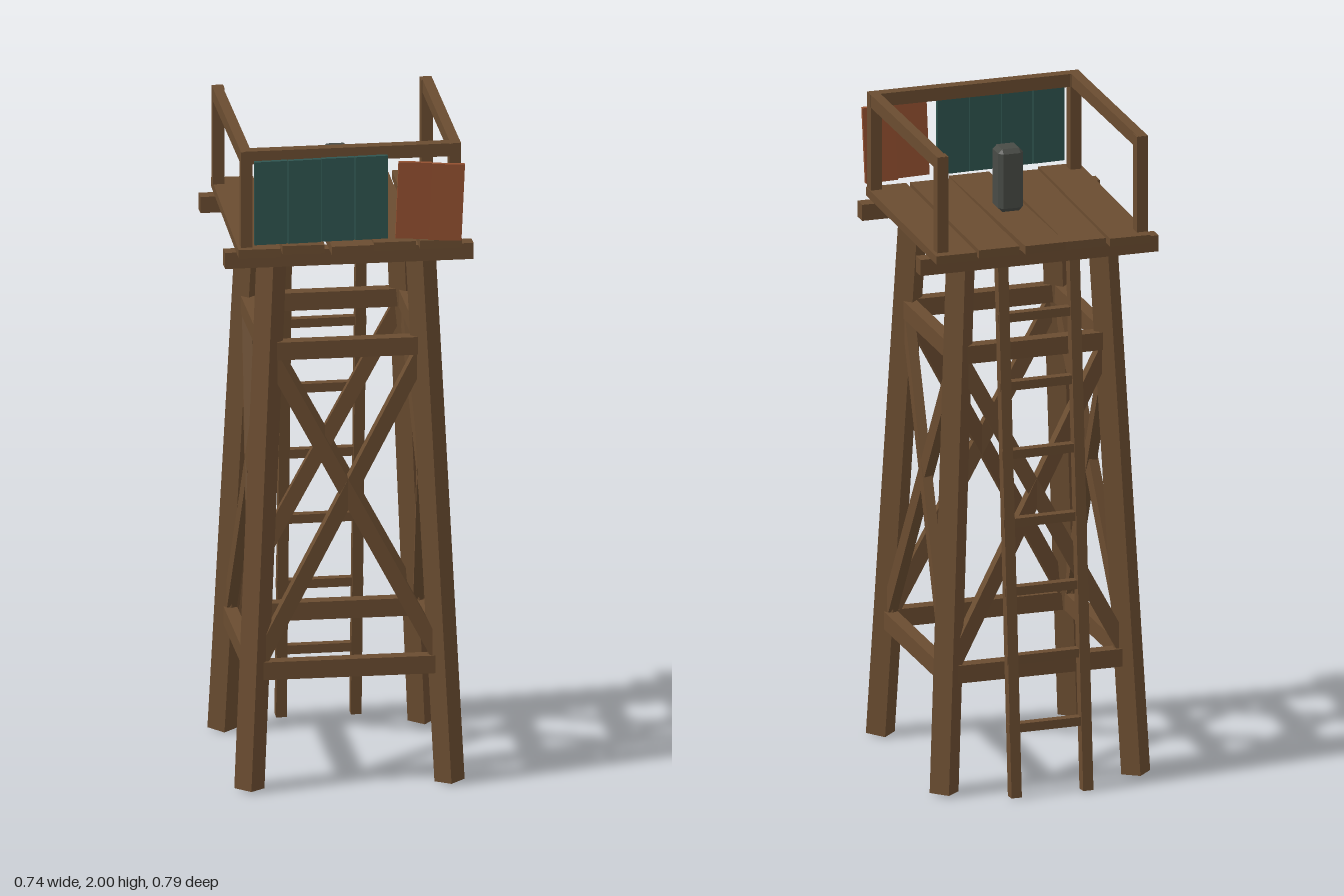
import * as THREE from 'three';
import { ConvexGeometry } from 'three/addons/geometries/ConvexGeometry.js';

const mat = (name, color) => {
  const m = new THREE.MeshStandardMaterial({ color });
  m.name = name;
  return m;
};

export function createModel() {
  const wood = mat('brown wood', 0x6a4c30);
  const teal = mat('teal paint', 0x2f5550);
  const rust = mat('rust orange paint', 0x935030);
  const grey = mat('dark grey metal', 0x484b46);

  const model = new THREE.Group();
  model.name = 'watchtower';
  const section = (name) => {
    const g = new THREE.Group();
    g.name = name;
    model.add(g);
    return g;
  };

  const box = (parent, name, material, size, pos, rot = [0, 0, 0]) => {
    const m = new THREE.Mesh(new THREE.BoxGeometry(...size), material);
    m.name = name;
    m.position.set(...pos);
    m.rotation.set(...rot);
    parent.add(m);
    return m;
  };

  // Timber of section w x h running from a to b
  const beam = (parent, name, a, b, w, h) => {
    const m = new THREE.Mesh(new THREE.BoxGeometry(w, h, a.distanceTo(b)), wood);
    m.name = name;
    m.position.copy(a).lerp(b, 0.5);
    m.lookAt(b);
    parent.add(m);
  };

  // Centre of a splayed leg at height y; corners run around the tower
  const ZC = 0.025;
  const corners = [[1, 1], [-1, 1], [-1, -1], [1, -1]];
  const legAt = (i, y) => {
    const [sx, sz] = corners[i % 4];
    const r = 0.3 - 0.078 * (y / 1.66);
    return new THREE.Vector3(sx * r, y, sz * r + ZC);
  };

  // Legs, horizontal braces and crossed braces on all four sides
  const frame = section('frame');
  for (let i = 0; i < 4; i++) {
    beam(frame, 'leg', legAt(i, 0.005), legAt(i, 1.675), 0.064, 0.064);
    for (const y of [0.368, 1.348]) {
      beam(frame, 'horizontalBrace', legAt(i, y), legAt(i + 1, y), 0.04, 0.055);
    }
    beam(frame, 'diagonalBrace', legAt(i, 0.368), legAt(i + 1, 1.348), 0.03, 0.045);
    beam(frame, 'diagonalBrace', legAt(i + 1, 0.368), legAt(i, 1.348), 0.03, 0.045);
  }

  // Deck: two joists and five uneven planks
  const deck = section('deck');
  for (const z of [-0.25, 0.3]) box(deck, 'joist', wood, [0.744, 0.05, 0.044], [0, 1.65, z]);
  const planks = [ // centre x, back z, front z, yaw
    [-0.27, -0.334, 0.382, -0.018],
    [-0.135, -0.321, 0.361, -0.021],
    [0, -0.32, 0.385, 0.007],
    [0.136, -0.315, 0.362, -0.012],
    [0.274, -0.33, 0.362, -0.013],
  ];
  for (const [x, z0, z1, yaw] of planks) {
    box(deck, 'deckPlank', wood, [0.126, 0.026, z1 - z0], [x, 1.688, (z0 + z1) / 2], [0, yaw, 0]);
  }

  // Railing, open at the back
  const railing = section('railing');
  for (const sx of [-1, 1]) {
    for (const z of [-0.283, 0.342]) {
      box(railing, 'railingPost', wood, [0.035, 0.3, 0.036], [sx * 0.312, 1.849, z]);
    }
    box(railing, 'sideRail', wood, [0.031, 0.04, 0.652], [sx * 0.314, 1.98, 0.026]);
  }
  box(railing, 'frontRail', wood, [0.66, 0.04, 0.034], [0, 1.98, 0.342]);

  // Painted boards hung on the front rail
  const boards = section('frontBoards');
  const boardData = [ // material, x, y, z, height, yaw, roll
    [teal, -0.243, 1.845, 0.378, 0.258, 0.035, 0],
    [teal, -0.142, 1.845, 0.376, 0.258, 0.04, 0],
    [teal, -0.041, 1.845, 0.37, 0.258, 0.02, 0],
    [teal, 0.06, 1.845, 0.367, 0.258, 0.04, 0],
    [rust, 0.185, 1.834, 0.377, 0.237, -0.05, -0.04],
    [rust, 0.283, 1.826, 0.381, 0.237, -0.06, -0.045],
  ];
  for (const [m, x, y, z, h, yaw, roll] of boardData) {
    box(boards, 'frontBoard', m, [0.099, h, 0.014], [x, y, z], [0, yaw, roll]);
  }

  // Leaning ladder at the back
  const ladder = section('ladder');
  const ladderZ = (y) => -0.376 + 0.131 * (y / 1.67);
  for (const x of [-0.112, 0.112]) {
    beam(ladder, 'ladderRail', new THREE.Vector3(x, 0.003, ladderZ(0)),
      new THREE.Vector3(x, 1.675, ladderZ(1.675)), 0.032, 0.036);
  }
  for (let i = 0; i < 7; i++) {
    const y = 0.215 + i * 0.2085;
    box(ladder, 'ladderRung', wood, [0.26, 0.027, 0.027], [0, y, ladderZ(y)], [0, 0.02, 0]);
  }

  // Bevelled canister standing mid-deck
  const half = [0.039, 0.098, 0.039];
  const bevel = 0.013;
  const points = [];
  for (const sx of [-1, 1]) for (const sy of [-1, 1]) for (const sz of [-1, 1]) {
    for (let axis = 0; axis < 3; axis++) {
      const p = half.map((v, k) => (k === axis ? v : v - bevel));
      points.push(new THREE.Vector3(sx * p[0], sy * p[1], sz * p[2]));
    }
  }
  const canister = new THREE.Mesh(new ConvexGeometry(points), grey);
  canister.name = 'canister';
  canister.position.set(0, 1.802, 0.026);
  model.add(canister);

  return model;
}
